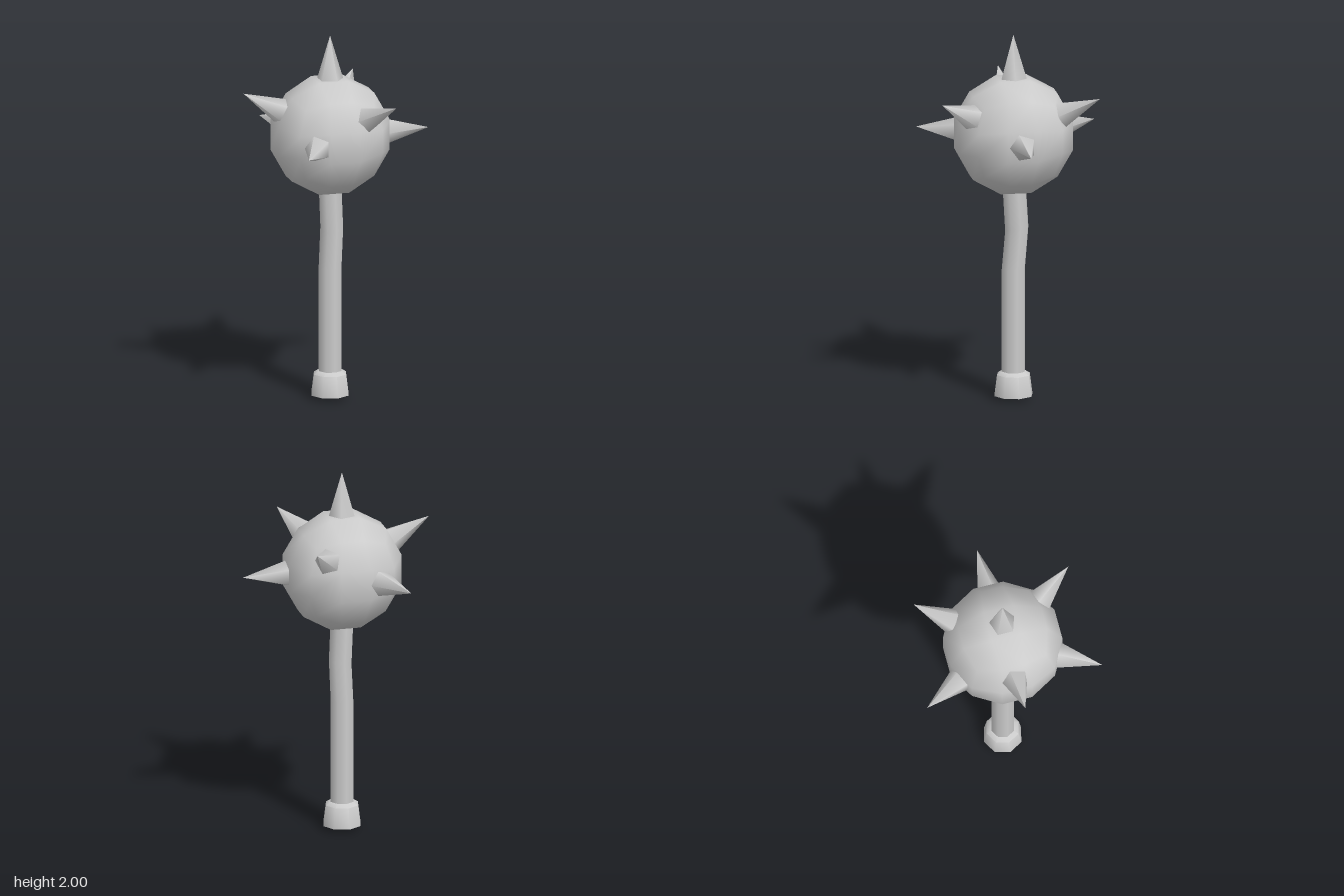
import * as THREE from 'three';
import { mergeVertices, toCreasedNormals } from 'three/addons/utils/BufferGeometryUtils.js';

const CX = -0.037;
const BALL_Y = 1.455;
const BALL_R = 0.328;

const material = new THREE.MeshStandardMaterial({ color: 0xcccccc });

function addMesh(group, name, geometry) {
  const mesh = new THREE.Mesh(geometry, material);
  mesh.name = name;
  group.add(mesh);
  return mesh;
}

// Cube of 3 x 3 faces per side, blown up to a sphere
function ballGeometry() {
  let geo = new THREE.BoxGeometry(2, 2, 2, 3, 3, 3);
  geo.deleteAttribute('normal');
  geo.deleteAttribute('uv');
  geo = mergeVertices(geo);
  const p = geo.attributes.position;
  const v = new THREE.Vector3();
  const spread = (t) => Math.tan(t * Math.PI / 4);
  for (let i = 0; i < p.count; i++) {
    v.fromBufferAttribute(p, i);
    v.set(spread(v.x), spread(v.y), spread(v.z)).setLength(BALL_R);
    p.setXYZ(i, v.x, v.y, v.z);
  }
  geo.computeVertexNormals();
  return geo;
}

// Eight-sided shaft whose rings follow a slightly kinked line
function handleGeometry() {
  const rings = [ // height, x offset, z offset, ring tilt
    [1.2, 0, -0.003, 0],
    [0.94, 0.014, -0.016, 0.25],
    [0.72, 0, 0, 0],
    [0.14, 0, 0, 0],
  ];
  const geo = new THREE.CylinderGeometry(0.065, 0.065, 3, 8, 3, true, 0.14);
  const p = geo.attributes.position;
  for (let i = 0; i < p.count; i++) {
    const [y, dx, dz, tilt] = rings[Math.round(1.5 - p.getY(i))];
    const x = p.getX(i), z = p.getZ(i);
    p.setXYZ(i, x + dx, y + tilt * (x - z) * Math.SQRT1_2, z + dz);
  }
  return geo;
}

export function createModel() {
  const model = new THREE.Group();
  model.name = 'spikedMace';

  addMesh(model, 'ball', ballGeometry()).position.set(CX, BALL_Y, 0);
  addMesh(model, 'handle', handleGeometry()).position.x = CX;

  // Pommel with a bevelled top and a shallow pointed bottom
  const profile = [[0, 0.003], [0.107, 0.026], [0.092, 0.14], [0.064, 0.158], [0, 0.158]]
    .map(([r, y]) => new THREE.Vector2(r, y));
  const pommel = toCreasedNormals(new THREE.LatheGeometry(profile, 8, 0.14), 0.9);
  addMesh(model, 'pommel', pommel).position.x = CX;

  // Five-sided spikes pointing out from the ball centre
  const spikes = new THREE.Group();
  spikes.name = 'spikes';
  spikes.position.set(CX, BALL_Y, 0);
  model.add(spikes);
  const tip = 0.545, base = 0.3;
  const cone = new THREE.ConeGeometry(0.074, tip - base, 5);
  cone.translate(0, (tip + base) / 2, 0);
  const directions = [
    [0, 1, 0],
    [1, 0, 0],
    [-0.48, 0.26, 0],
    [-0.255, 0, 0.482],
    [-0.255, 0, -0.482],
    [0.247, 0.235, 0.425],
    [0.247, 0.235, -0.425],
  ];
  const up = new THREE.Vector3(0, 1, 0);
  directions.forEach((d, i) => {
    const dir = new THREE.Vector3(...d).normalize();
    const side = new THREE.Vector3().crossVectors(dir, up);
    if (side.lengthSq() < 1e-6) side.set(1, 0, 0);
    side.normalize();
    const third = new THREE.Vector3().crossVectors(dir, side);
    const spike = addMesh(spikes, `spike${i + 1}`, cone);
    spike.quaternion.setFromRotationMatrix(new THREE.Matrix4().makeBasis(third, dir, side));
  });

  return model;
}
